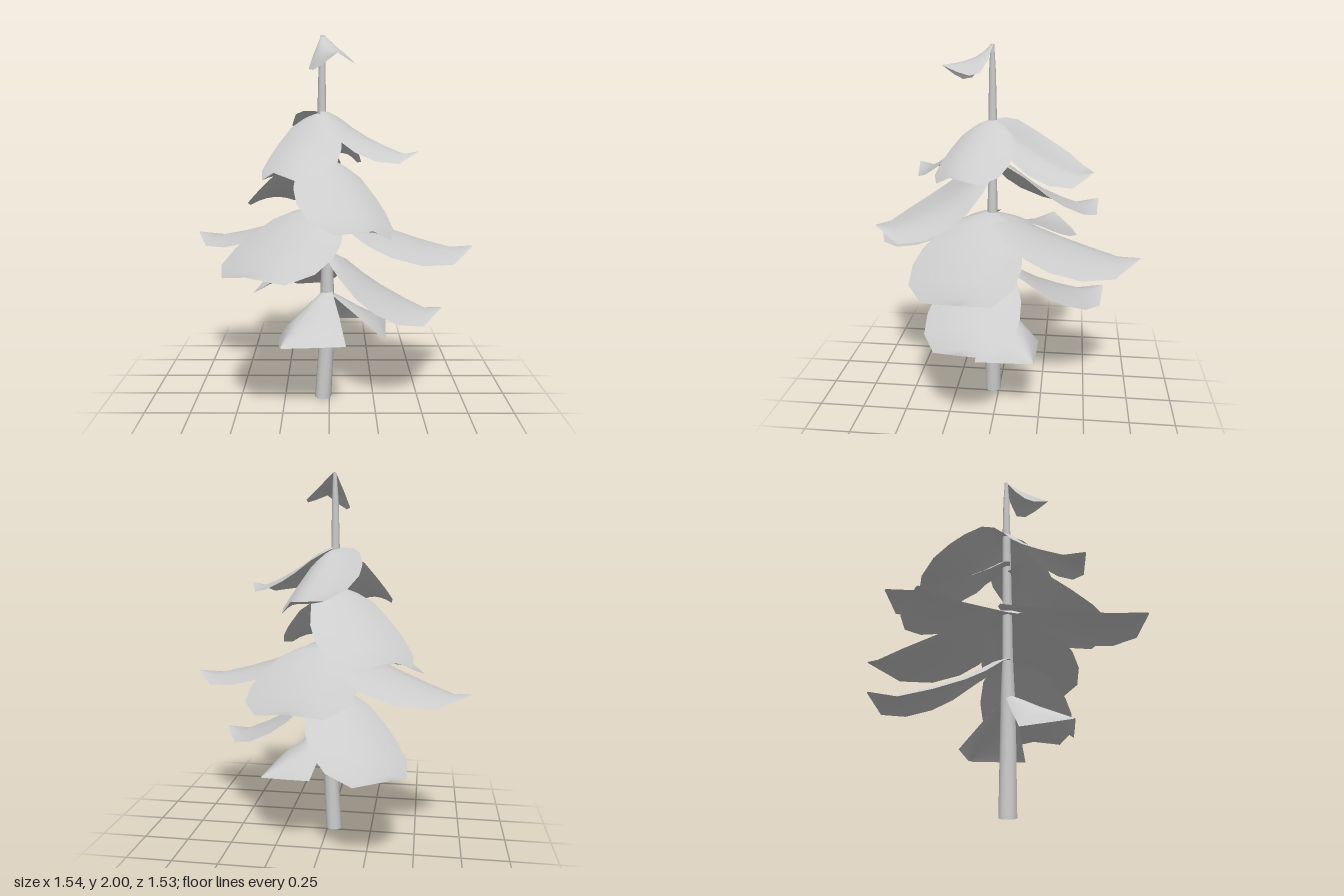
import * as THREE from 'three';

const lerp = THREE.MathUtils.lerp;

// Leaf rows: [distance along midrib, half width, share of the total drop]
const BROAD = [[0, .15, 0], [.06, .48, .04], [.15, .74, .15], [.3, .94, .42], [.45, 1, .64],
  [.65, .92, .87], [.85, .6, 1.05], [1, .03, .98]];
const DIAMOND = [[0, .12, 0], [.25, .56, .25], [.52, 1, .54], [.75, .54, .76], [1, .03, 1]];
const KITE = [[0, .12, 0], [.15, .6, .35], [.35, 1, .65], [.55, .9, .82], [.75, .55, .92], [1, .03, 1]];

// Stem centre line: [y, x, radius]
const STEM = [[0, -.035, .046], [.4, -.012, .042], [.65, -.012, .037], [.85, -.012, .029],
  [1.2, -.022, .026], [1.6, -.04, .023], [1.85, -.038, .018], [1.99, -.035, .01]];
const STEM_Z = .035;

function stemX(y) {
  for (let i = 1; i < STEM.length; i++) {
    const [y0, x0] = STEM[i - 1], [y1, x1] = STEM[i];
    if (y <= y1) return lerp(x0, x1, (y - y0) / (y1 - y0));
  }
  return STEM.at(-1)[1];
}

// Join equal rows of points into a smooth sheet
function sheet(points, rows, cols) {
  const index = [];
  for (let r = 0; r < rows - 1; r++) {
    for (let c = 0; c < cols - 1; c++) {
      const a = r * cols + c, b = a + cols;
      index.push(a, a + 1, b, a + 1, b + 1, b);
    }
  }
  const g = new THREE.BufferGeometry();
  g.setAttribute('position', new THREE.Float32BufferAttribute(points, 3));
  g.setIndex(index);
  g.computeVertexNormals();
  return g;
}

// Leaf from the stem to its tip; width and droop are given for its two edges
function leafGeometry({ y, tip, width, droop, rows = BROAD }) {
  const bx = stemX(y), dx = tip[0] - bx, dz = tip[2] - STEM_Z;
  const len = Math.hypot(dx, dz), ax = dx / len, az = dz / len;
  const points = [], cols = 7;
  for (const [t, half, fall] of rows) {
    for (let c = 0; c < cols; c++) {
      const s = c / (cols - 1) * 2 - 1, side = s < 0 ? 0 : 1;
      const w = s * half * width[side];
      points.push(bx + ax * len * t - az * w,
        lerp(y, tip[1], fall) - droop[side] * s * s * half,
        STEM_Z + az * len * t + ax * w);
    }
  }
  return sheet(points, rows.length, cols);
}

function stemGeometry() {
  const sides = 12;
  const g = new THREE.CylinderGeometry(1, 1, 1, sides, STEM.length - 1, true);
  const p = g.attributes.position;
  for (let i = 0; i < p.count; i++) {
    const [y, x, r] = STEM[STEM.length - 1 - Math.floor(i / (sides + 1))];
    p.setXYZ(i, x + p.getX(i) * r, y, STEM_Z + p.getZ(i) * r);
  }
  g.computeVertexNormals();
  return g;
}

const LEAVES = {
  topLeaf: [{ y: 1.995, tip: [.04, 1.89, .28], width: [.14, .1], droop: [.07, .11], rows: KITE }],
  upperLeaf: [
    { y: 1.61, tip: [.455, 1.4, .18], width: [.19, .19], droop: [.05, .07] },
    { y: 1.6, tip: [-.26, 1.32, .48], width: [.2, .19], droop: [.06, .05] },
    { y: 1.6, tip: [.1, 1.36, -.5], width: [.23, .15], droop: [-.03, .09] }],
  upperMiddleLeaf: [
    { y: 1.4, tip: [-.4, 1.09, -.55], width: [.26, .24], droop: [.06, .05] },
    { y: 1.36, tip: [.2, 1.07, .63], width: [.23, .25], droop: [.08, .01] }],
  middleLeaf: [
    { y: 1.11, tip: [.77, .89, .1], width: [.22, .35], droop: [.06, .07] },
    { y: 1.11, tip: [-.37, .89, .76], width: [.22, .35], droop: [.06, .07] },
    { y: 1.1, tip: [-.77, .89, -.28], width: [.21, .31], droop: [.06, .06] },
    { y: 1.1, tip: [.06, .89, -.77], width: [.22, .34], droop: [.06, .06] }],
  lowerMiddleLeaf: [
    { y: .84, tip: [.61, .55, .12], width: [.22, .29], droop: [.05, .06] },
    { y: .83, tip: [-.39, .54, -.6], width: [.25, .25], droop: [.06, .06] }],
  lowestLeaf: [
    { y: .63, tip: [.33, .38, -.22], width: [.17, .24], droop: [.12, .14], rows: DIAMOND },
    { y: .64, tip: [-.25, .42, .38], width: [.27, .17], droop: [.1, .14], rows: DIAMOND }],
};

export function createModel() {
  const grey = new THREE.MeshStandardMaterial({ color: 0xcccccc, side: THREE.DoubleSide });
  grey.name = 'light grey';
  const model = new THREE.Group();
  model.name = 'leafyPlant';
  const add = (name, geometry) => {
    const mesh = new THREE.Mesh(geometry, grey);
    mesh.name = name;
    model.add(mesh);
  };
  add('stem', stemGeometry());
  for (const [name, list] of Object.entries(LEAVES)) {
    list.forEach((leaf, i) => add(name + (i + 1), leafGeometry(leaf)));
  }
  return model;
}
